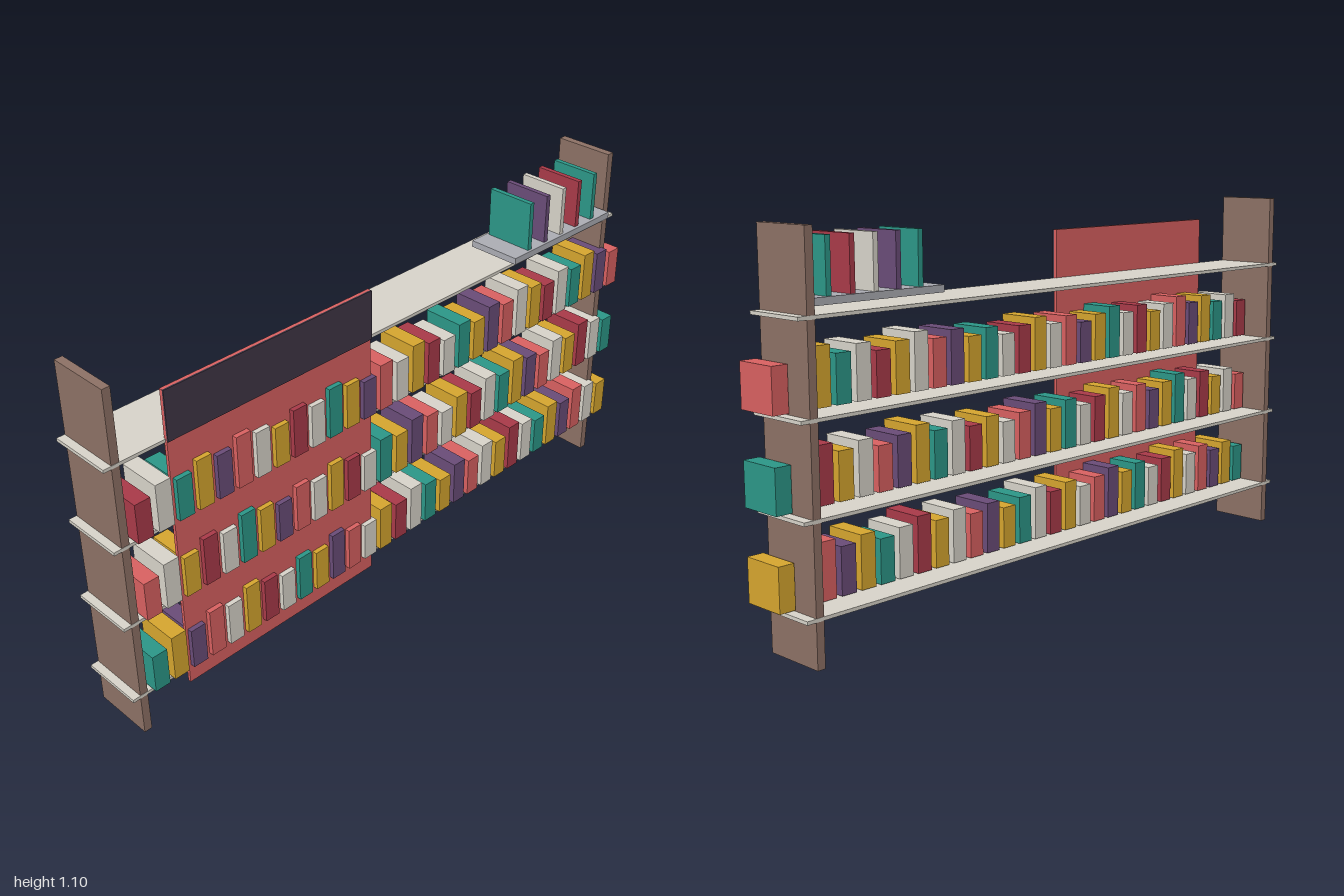
import * as THREE from 'three';

function flat(name, color) {
  const m = new THREE.MeshStandardMaterial({ color });
  m.name = name;
  return m;
}

export function createModel() {
  const model = new THREE.Group();
  model.name = 'bookshelf';

  const brown = flat('brown wood', 0x8d7165);
  const cream = flat('cream', 0xd8d4ca);
  const red = flat('coral red', 0xd96161);
  const dark = flat('dark plum', 0x3f3645);
  const teal = flat('teal', 0x2c9788);
  const gold = flat('gold', 0xd6a62f);
  const crimson = flat('crimson', 0xa93a49);
  const purple = flat('purple', 0x6a4c78);
  const grey = flat('grey', 0xacadb4);

  // Box given by its lower and upper corners
  function box(name, material, [x0, y0, z0], [x1, y1, z1], parent = model) {
    const mesh = new THREE.Mesh(new THREE.BoxGeometry(x1 - x0, y1 - y0, z1 - z0), material);
    mesh.position.set((x0 + x1) / 2, (y0 + y1) / 2, (z0 + z1) / 2);
    mesh.name = name;
    parent.add(mesh);
    return mesh;
  }

  // End uprights
  for (const z of [0.964, -0.938]) {
    box('upright', brown, [-0.11, 0, z - 0.012], [0.079, 1.1, z + 0.012]);
  }

  // Four shelves, running a little past the uprights
  for (let i = 0; i < 4; i++) {
    const y = 0.131 + i * 0.25;
    box('shelf', cream, [-0.111, y - 0.005, -0.978], [0.08, y + 0.005, 1]);
  }

  // Rows of books with repeating colours and heights
  const covers = [crimson, cream, teal, gold, purple, red, cream, gold];
  [2, 5, 0].forEach((shift, row) => {
    const books = new THREE.Group();
    books.name = 'bookRow';
    model.add(books);
    const y = 0.14 + row * 0.25;
    for (let i = 0; i < 30; i++) {
      const z = 0.9145 - i * 0.0652;
      const height = 0.12 + 0.0025 * ((i * 10) % 17);
      box('book', covers[(i + shift) % 8], [-0.03, y, z - 0.024], [0.1, y + height, z + 0.024], books);
    }
  });

  // Hanging panel with a dark header
  box('panel', red, [0.075, 0.08, 0.115], [0.085, 1.03, 0.815]);
  box('panelHeader', dark, [0.085, 0.88, 0.115], [0.09, 1.03, 0.815]);

  // Display tray with upright books on the top shelf
  box('tray', grey, [-0.062, 0.9, -0.915], [0.108, 0.92, -0.465]);
  [teal, purple, cream, crimson, teal].forEach((cover, i) => {
    const z = -0.54 - i * 0.075;
    box('displayBook', cover, [-0.055, 0.92, z - 0.008], [0.099, 1.07, z + 0.008]);
  });

  return model;
}
